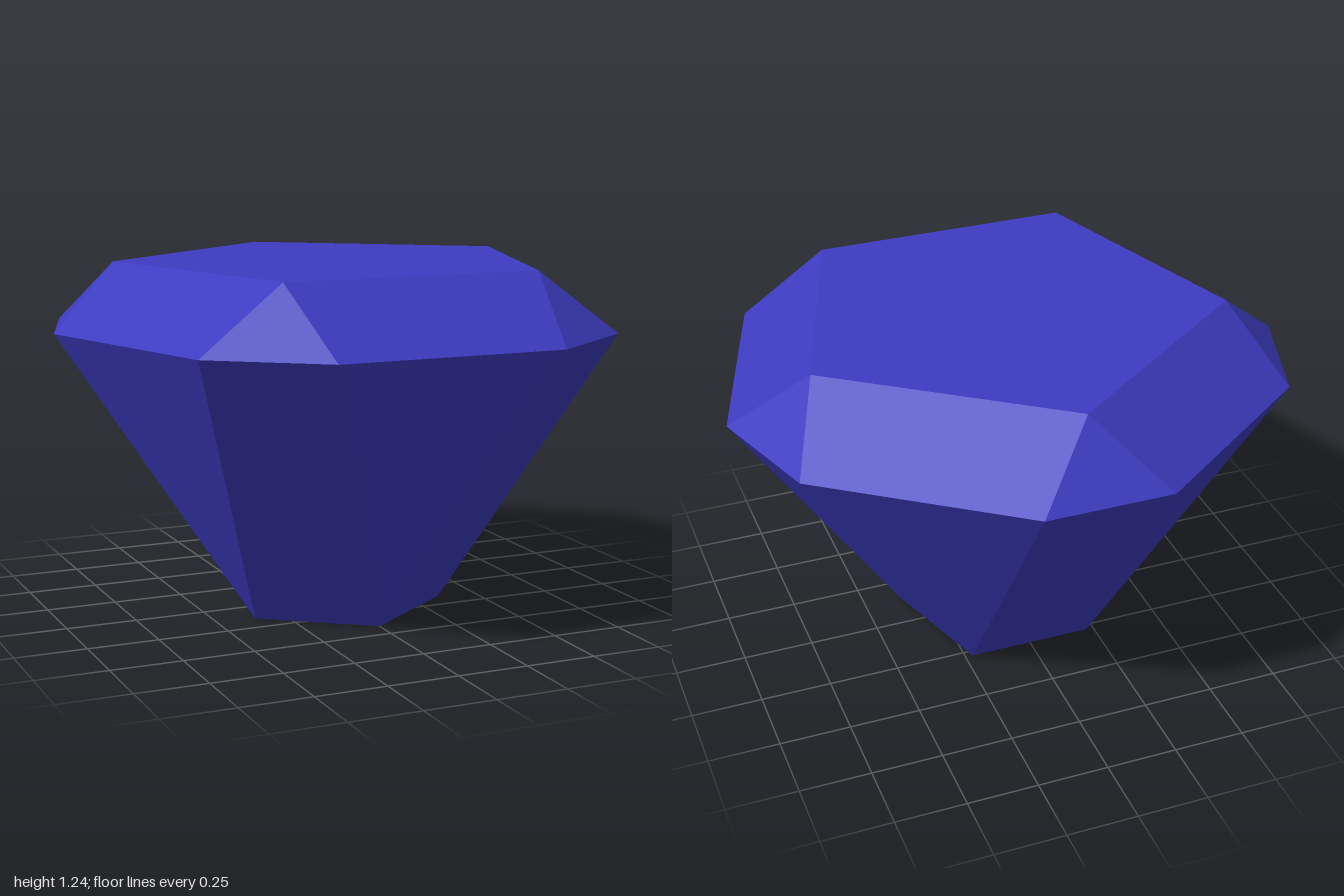
import * as THREE from 'three';

const SIDES = 5;
const STEP = (Math.PI * 2) / SIDES;
const CENTRE_Z = 0.03;

// Point on a horizontal ring; angle 0 is the back, rising towards +x
const at = (angle, radius, y) => [
  radius * Math.sin(angle), y, CENTRE_Z - radius * Math.cos(angle),
];

// Flat facets: each convex polygon is fanned into triangles with its own corners
function facets(polygons) {
  const positions = [];
  for (const p of polygons) {
    for (let i = 1; i < p.length - 1; i++) positions.push(...p[0], ...p[i], ...p[i + 1]);
  }
  const geometry = new THREE.BufferGeometry();
  geometry.setAttribute('position', new THREE.Float32BufferAttribute(positions, 3));
  geometry.computeVertexNormals();
  return geometry;
}

export function createModel() {
  const group = new THREE.Group();
  group.name = 'gemstone';
  const gemBlue = new THREE.MeshStandardMaterial({ color: 0x3d3bc0 });
  gemBlue.name = 'gemBlue';

  // Table corners, girdle corner pairs and base corners
  const table = (i) => at(i * STEP, 0.779, 1.24);
  const girdleA = (i) => at(i * STEP - 0.221, 1.004, 1.017);
  const girdleB = (i) => at(i * STEP + 0.221, 1.004, 1.017);
  const base = (i) => at((i + 0.5) * STEP, 0.379, 0);

  const crown = [], pavilion = [], top = [], bottom = [];
  for (let i = 0; i < SIDES; i++) {
    // Crown: a corner triangle, then a broad bevel
    crown.push([table(i), girdleB(i), girdleA(i)]);
    crown.push([table(i), table(i + 1), girdleA(i + 1), girdleB(i)]);
    // Pavilion: a tapering side, then a triangle down to a base corner
    pavilion.push([girdleA(i), girdleB(i), base(i), base(i - 1)]);
    pavilion.push([girdleB(i), girdleA(i + 1), base(i)]);
    top.unshift(table(i));
    bottom.push(base(i));
  }

  const parts = { table: [top], crown, pavilion, base: [bottom] };
  for (const [name, polygons] of Object.entries(parts)) {
    const mesh = new THREE.Mesh(facets(polygons), gemBlue);
    mesh.name = name;
    group.add(mesh);
  }
  return group;
}
